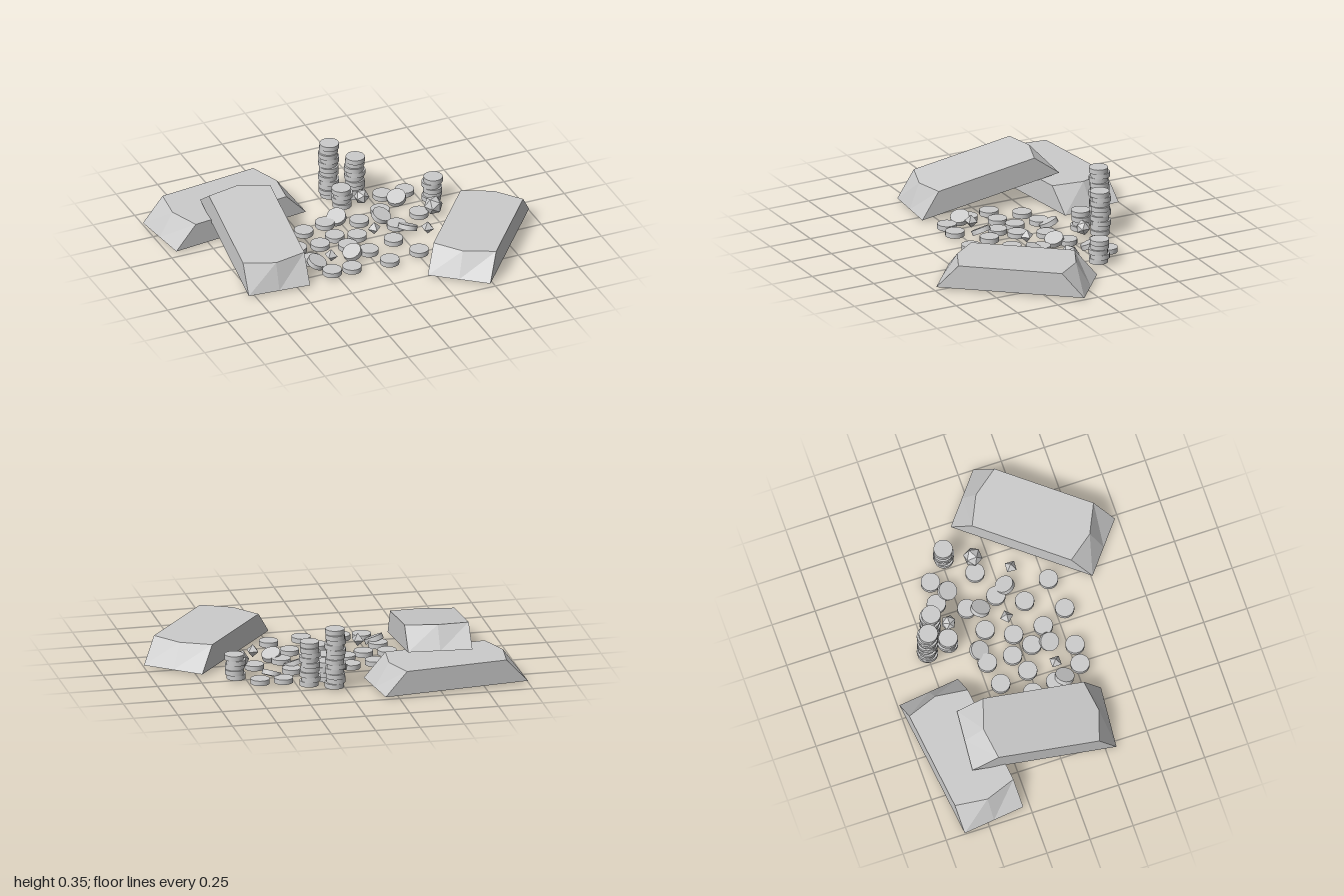
import * as THREE from 'three';

const grey = new THREE.MeshStandardMaterial({ color: 0xcccccc });
const facet = new THREE.MeshStandardMaterial({ color: 0xcccccc, flatShading: true });

const BASE = 0.015;   // underside of everything lying flat
const R = 0.053, T = 0.028; // coin radius and thickness

// Ingot: straight long sides, sloped ends whose top edge comes to a blunt point
function ingotGeometry() {
  const L = 0.415, W = 0.178, H = 0.135, side = 0.125, mid = 0.082;
  const bottom = [[-W, L], [0, L], [W, L], [W, -L], [0, -L], [-W, -L]];
  const top = [[-W, L - side], [0, L - mid], [W, L - side],
    [W, side - L], [0, mid - L], [-W, side - L]];
  const pos = [];
  const put = (p, y) => pos.push(p[0], y, p[1]);
  for (let i = 0; i < 6; i++) {
    const j = (i + 1) % 6;
    put(bottom[i], 0); put(bottom[j], 0); put(top[j], H);
    put(bottom[i], 0); put(top[j], H); put(top[i], H);
  }
  for (let i = 1; i < 5; i++) {
    put(top[0], H); put(top[i], H); put(top[i + 1], H);
    put(bottom[0], 0); put(bottom[i + 1], 0); put(bottom[i], 0);
  }
  const g = new THREE.BufferGeometry();
  g.setAttribute('position', new THREE.Float32BufferAttribute(pos, 3));
  g.computeVertexNormals();
  return g;
}

export function createModel() {
  const model = new THREE.Group();
  model.name = 'treasurePile';

  const add = (parent, name, geometry, material, p, r = [0, 0, 0]) => {
    const m = new THREE.Mesh(geometry, material);
    m.name = name;
    m.position.set(...p);
    m.rotation.set(r[0], r[1], r[2], 'YXZ');
    parent.add(m);
    return m;
  };
  const group = (name) => {
    const g = new THREE.Group();
    g.name = name;
    model.add(g);
    return g;
  };

  // Ingots: two flat, one leaning on the back one
  const ingots = group('ingots');
  const bar = ingotGeometry();
  add(ingots, 'backIngot', bar, facet, [-0.565, BASE, -0.514], [0, 1.69, 0]);
  add(ingots, 'leaningIngot', bar, facet, [-0.575, 0.093, -0.08], [0.19, -0.086, 0]);
  add(ingots, 'sideIngot', bar, facet, [0.6, BASE, 0.297], [0, -0.679, 0]);

  // Loose coins lying flat
  const coin = new THREE.CylinderGeometry(R, R, T, 24);
  const flat = group('flatCoins');
  const flatSpots = [
    [-0.24, -0.175], [-0.10, -0.205], [0.235, -0.21], [0.085, -0.155],
    [-0.345, -0.025], [-0.215, -0.01], [-0.105, -0.06], [0.01, -0.015],
    [0.255, -0.035], [0.42, -0.10], [-0.08, 0.06], [0.175, 0.105],
    [-0.325, 0.115], [0.005, 0.155], [-0.27, 0.275], [-0.155, 0.285],
    [0.065, 0.30], [0.255, 0.27], [0.315, -0.36], [0.445, -0.35],
  ];
  for (const [x, z] of flatSpots) add(flat, 'coin', coin, grey, [x, BASE + T / 2, z]);

  // Coins tipped over their neighbours
  const tipped = group('tippedCoins');
  const tippedSpots = [
    [-0.02, -0.225, 0.35, 0.3], [0.21, -0.14, 0.35, -0.25], [0.365, -0.28, 0.3, 0.3],
    [0.295, 0.03, -0.3, -0.3], [-0.315, 0.17, 0.3, -0.3], [-0.095, 0.155, 0.2, 0.45],
  ];
  for (const [x, z, rx, rz] of tippedSpots) {
    add(tipped, 'coin', coin, grey, [x, 0.042, z], [rx, 0, rz]);
  }

  // Coin stacks, each coin slightly out of line
  const stacks = [[0.055, -0.5, 12], [0.185, -0.44, 9], [0.08, -0.375, 4], [0.56, -0.235, 5]];
  stacks.forEach(([x, z, count], s) => {
    const stack = group('coinStack');
    for (let i = 0; i < count; i++) {
      const a = i * 2.4 + s;
      add(stack, 'coin', coin, grey,
        [x + 0.006 * Math.cos(a), BASE + T * (i + 0.5), z + 0.006 * Math.sin(a)]);
    }
  });

  // Gems
  const gems = group('gems');
  const round = new THREE.IcosahedronGeometry(1, 0);
  const diamond = new THREE.OctahedronGeometry(0.038);
  add(gems, 'roundGem', round, facet, [0.18, 0.065, -0.335]).scale.setScalar(0.043);
  add(gems, 'largeRoundGem', round, facet, [0.5, 0.068, -0.085], [0, 0.5, 0]).scale.setScalar(0.054);
  add(gems, 'diamondGem', diamond, facet, [0.115, 0.05, -0.02]);
  add(gems, 'diamondGem', diamond, facet, [-0.22, 0.05, 0.15], [0, Math.PI / 4, 0]);
  add(gems, 'diamondGem', diamond, facet, [0.385, 0.05, 0.095], [0, 0.72, 0]);

  return model;
}
